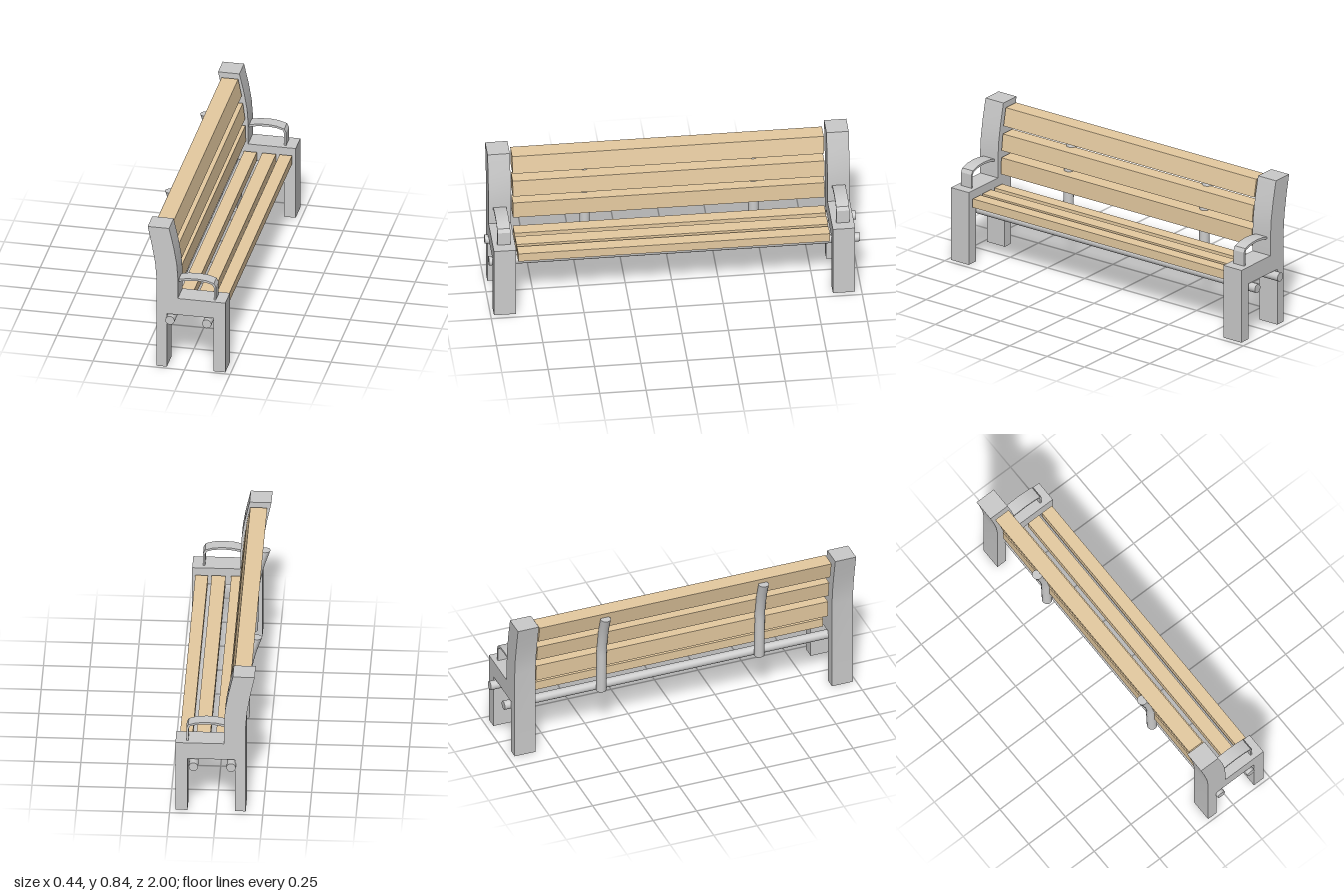
import * as THREE from 'three';
import { toCreasedNormals } from 'three/addons/utils/BufferGeometryUtils.js';

const metal = new THREE.MeshStandardMaterial({ color: 0xcccccc });
const wood = new THREE.MeshStandardMaterial({ color: 0xe6cba1 });

// Prism with an x/y outline, running along z and centred on zMid
function prism(name, outline, depth, zMid, material) {
  const shape = new THREE.Shape(outline.map(([x, y]) => new THREE.Vector2(x, y)));
  let geo = new THREE.ExtrudeGeometry(shape, { depth, bevelEnabled: false });
  geo.translate(0, 0, zMid - depth / 2);
  geo = toCreasedNormals(geo, Math.PI / 7);
  const mesh = new THREE.Mesh(geo, material);
  mesh.name = name;
  return mesh;
}

// Side frame: two legs, seat beam and backward-curving upright
const frameOutline = [
  [-0.157, 0], [-0.1, 0], [-0.1, 0.32], [0.155, 0.32], [0.155, 0], [0.22, 0],
  [0.22, 0.418], [-0.04, 0.418], [-0.04, 0.54], [-0.046, 0.625], [-0.062, 0.72],
  [-0.088, 0.836], [-0.205, 0.836], [-0.182, 0.725], [-0.164, 0.62], [-0.157, 0.53],
];

// Thin bent armrest
const armOutline = [
  [-0.042, 0.508], [0, 0.517], [0.057, 0.522], [0.11, 0.517], [0.143, 0.507], [0.152, 0.49],
  [0.152, 0.416], [0.163, 0.416], [0.163, 0.495], [0.152, 0.516], [0.11, 0.529],
  [0.057, 0.534], [0, 0.53], [-0.042, 0.521],
];

// Back slats: bottom y, top y, front x at bottom and top, back x at bottom and top
const backSlats = [
  [0.44, 0.535, -0.05, -0.052, -0.13, -0.132],
  [0.575, 0.668, -0.054, -0.066, -0.136, -0.15],
  [0.712, 0.811, -0.072, -0.092, -0.162, -0.183],
];

// Seat slats: back x, front x
const seatSlats = [[-0.06, 0.01], [0.04, 0.115], [0.135, 0.203]];

// Centre line of the back supports as [y, x]
const supportLine = [
  [0.285, -0.125], [0.48, -0.13], [0.57, -0.135], [0.68, -0.158], [0.783, -0.192],
];

function createSupport(z) {
  const curve = new THREE.SplineCurve(supportLine.map(([y, x]) => new THREE.Vector2(x, y)));
  const geo = new THREE.CylinderGeometry(0.028, 0.028, 1, 20, 16);
  const pos = geo.attributes.position;
  // Shift every ring sideways onto the centre line
  for (let i = 0; i < pos.count; i++) {
    const p = curve.getPoint(THREE.MathUtils.clamp(pos.getY(i) + 0.5, 0, 1));
    pos.setXYZ(i, pos.getX(i) + p.x, p.y, pos.getZ(i) + z);
  }
  const mesh = new THREE.Mesh(toCreasedNormals(geo, Math.PI / 5), metal);
  mesh.name = 'backSupport';
  return mesh;
}

export function createModel() {
  const bench = new THREE.Group();
  bench.name = 'bench';

  // End frames with armrests
  for (const z of [0.922, -0.905]) {
    const end = new THREE.Group();
    end.name = 'endFrame';
    end.add(prism('sideFrame', frameOutline, 0.12, z, metal));
    end.add(prism('armrest', armOutline, 0.07, z, metal));
    bench.add(end);
  }

  // Wooden slats
  const slatLength = 1.68, slatMid = 0.009;
  for (const [y0, y1, f0, f1, b0, b1] of backSlats) {
    bench.add(prism('backSlat', [[b0, y0], [f0, y0], [f1, y1], [b1, y1]], slatLength, slatMid, wood));
  }
  for (const [x0, x1] of seatSlats) {
    bench.add(prism('seatSlat', [[x0, 0.33], [x1, 0.33], [x1, 0.38], [x0, 0.38]], slatLength, slatMid, wood));
  }

  // Rods running the full length beneath the seat
  for (const x of [-0.08, 0.122]) {
    const rod = new THREE.Mesh(new THREE.CylinderGeometry(0.025, 0.025, 2, 24), metal);
    rod.name = 'seatRod';
    rod.rotation.x = Math.PI / 2;
    rod.position.set(x, 0.29, 0);
    bench.add(rod);
  }

  // Curved supports behind the back slats
  for (const z of [0.455, -0.455]) bench.add(createSupport(z));

  return bench;
}
